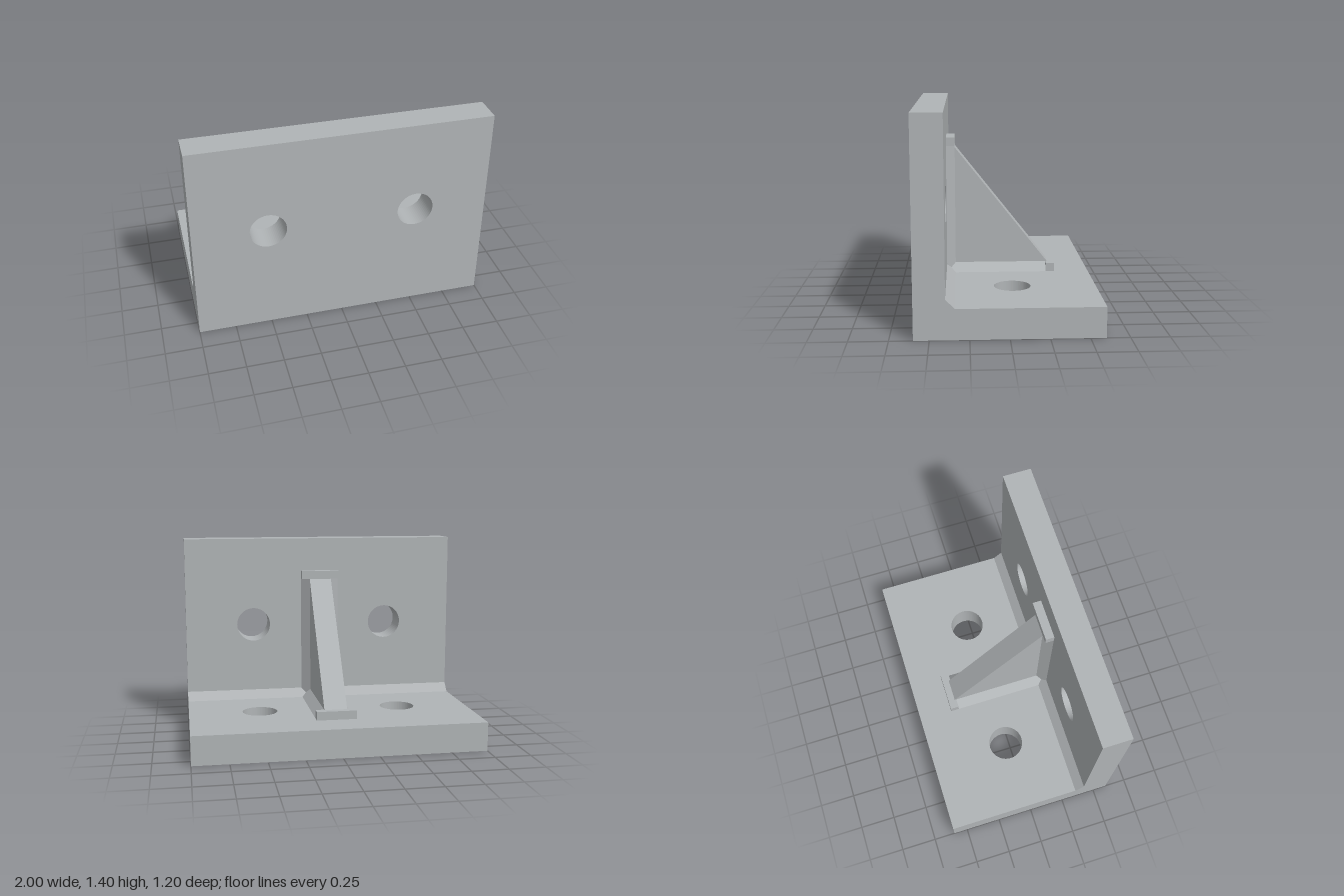
import * as THREE from 'three';

const steel = new THREE.MeshStandardMaterial({ color: 0xb0b4b6 });
steel.name = 'steelGrey';

const HOLE_R = 0.123, HOLE_X = 0.5;
const WELD = 0.06;      // leg of every weld bead
const RIB = 0.08;       // half thickness of the rib

const outline = (pts) => new THREE.Shape(pts.map(([x, y]) => new THREE.Vector2(x, y)));
const extrude = (shape, depth) =>
  new THREE.ExtrudeGeometry(shape, { depth, bevelEnabled: false, curveSegments: 32 });

// Rectangle from y0 to y1, full width, with a pair of bolt holes at holeY
function plateShape(y0, y1, holeY) {
  const shape = outline([[-1, y0], [1, y0], [1, y1], [-1, y1]]);
  for (const s of [-1, 1]) {
    shape.holes.push(new THREE.Path().absarc(s * HOLE_X, holeY, HOLE_R, 0, Math.PI * 2, true));
  }
  return shape;
}

// Profile given as [z, y], extruded along x and centred
function prismX(pts, width) {
  return extrude(outline(pts), width).translate(0, 0, -width / 2).rotateY(-Math.PI / 2);
}

export function createModel() {
  const group = new THREE.Group();
  group.name = 'angleBracket';
  const add = (name, geometry) => {
    const mesh = new THREE.Mesh(geometry, steel);
    mesh.name = name;
    group.add(mesh);
  };

  // Upright and base plates
  add('uprightPlate', extrude(plateShape(0, 1.4, 0.76), 0.2).translate(0, 0, 0.4));
  add('basePlate', extrude(plateShape(-0.4, 0.6, 0.04), 0.2).rotateX(-Math.PI / 2));

  // Sloped bead along the inner corner
  add('cornerWeld', prismX([[0.4, 0.2], [0.4, 0.2 + WELD], [0.4 - WELD, 0.2]], 2));

  // Triangular stiffening rib
  add('rib', prismX([[0.4, 0.2], [0.4, 1.16], [-0.36, 0.2]], RIB * 2));

  // Beads down both sides of the rib
  for (const s of [-1, 1]) {
    const side = s > 0 ? 'left' : 'right';
    const inner = s * RIB, outer = s * (RIB + WELD);
    add(side + 'UprightWeld',
      extrude(outline([[inner, -0.4], [outer, -0.4], [inner, -0.4 + WELD]]), 0.9)
        .rotateX(-Math.PI / 2).translate(0, 0.2, 0));
    add(side + 'BaseWeld',
      extrude(outline([[inner, 0.2], [outer, 0.2], [inner, 0.2 + WELD]]), 0.7)
        .translate(0, 0, -0.3));
  }

  // Square beads closing the rib tips
  const capWidth = (RIB + WELD) * 2;
  add('topWeldCap', new THREE.BoxGeometry(capWidth, WELD, WELD).translate(0, 1.13, 0.37));
  add('endWeldCap', new THREE.BoxGeometry(capWidth, WELD, WELD).translate(0, 0.23, -0.33));

  return group;
}
